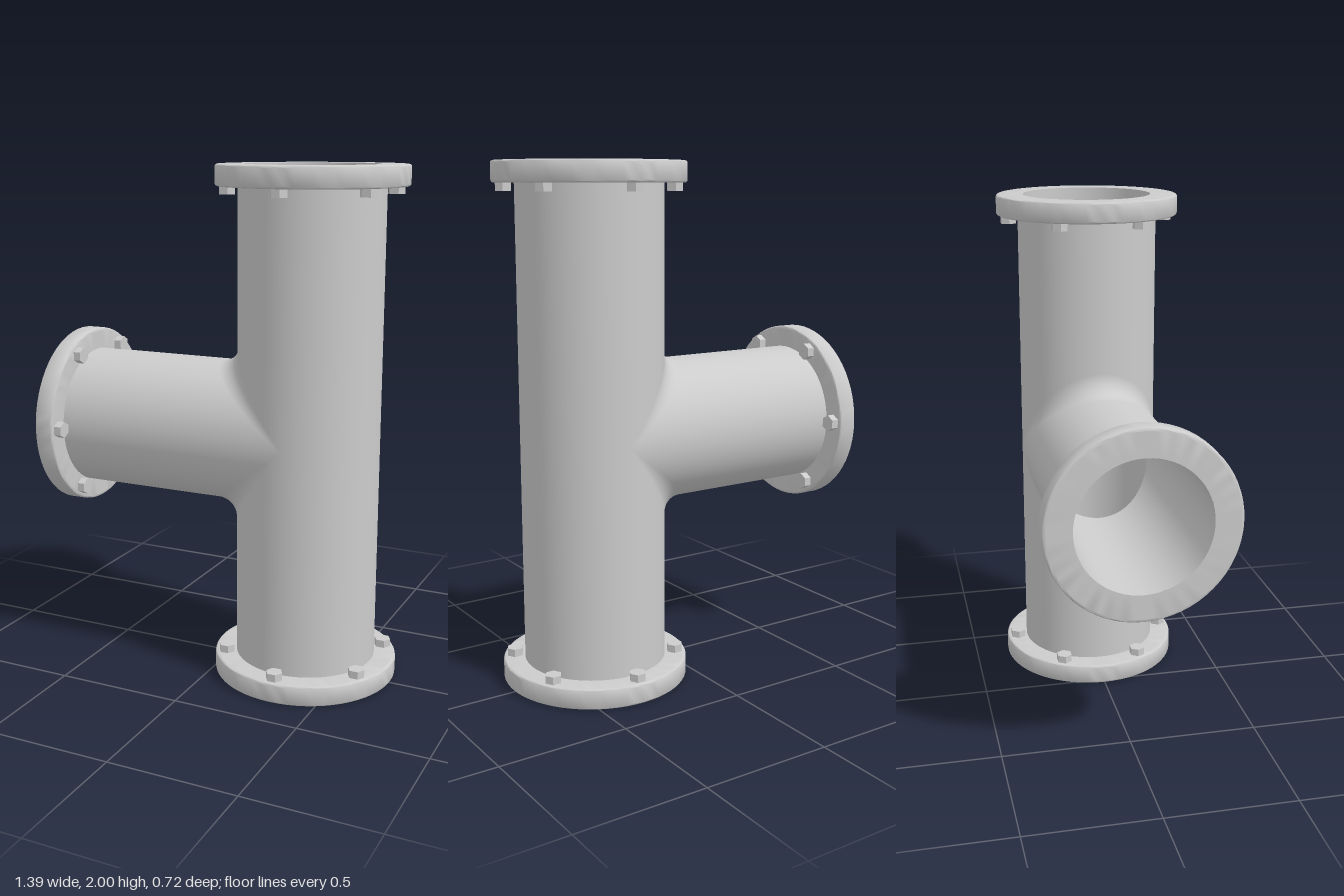
import * as THREE from 'three';
import { toCreasedNormals } from 'three/addons/utils/BufferGeometryUtils.js';

const AXIS_X = 0.332, BRANCH_Y = 0.962, HEIGHT = 2, BRANCH_END = -0.694;
const OUTER = 0.277, BORE = 0.254, FILLET = 0.085;
const FLANGE_R = 0.362, FLANGE_T = 0.08, BOLT_CIRCLE = 0.317;
const SIDES = 96;

const material = new THREE.MeshStandardMaterial({ color: 0xcccccc });
const flatMaterial = new THREE.MeshStandardMaterial({ color: 0xcccccc, flatShading: true });

function addMesh(parent, name, geometry, mat = material) {
  const mesh = new THREE.Mesh(geometry, mat);
  mesh.name = name;
  parent.add(mesh);
  return mesh;
}

// Grid surface; at(i, j) gives { p, n }, and faces are wound to agree with n.
function gridSurface(cols, rows, at) {
  const pts = [], normals = [], index = [];
  for (let i = 0; i <= cols; i++) {
    for (let j = 0; j <= rows; j++) {
      const { p, n } = at(i, j);
      pts.push(p);
      normals.push(n);
    }
  }
  const tri = (a, b, c) => {
    const face = pts[b].clone().sub(pts[a]).cross(pts[c].clone().sub(pts[a]));
    if (face.length() < 1e-10) return;
    const sum = normals[a].clone().add(normals[b]).add(normals[c]);
    if (face.dot(sum) > 0) index.push(a, b, c);
    else index.push(a, c, b);
  };
  for (let i = 0; i < cols; i++) {
    for (let j = 0; j < rows; j++) {
      const a = i * (rows + 1) + j, b = a + rows + 1;
      tri(a, b, b + 1);
      tri(a, b + 1, a + 1);
    }
  }
  const g = new THREE.BufferGeometry();
  g.setAttribute('position', new THREE.Float32BufferAttribute(pts.flatMap(v => v.toArray()), 3));
  g.setAttribute('normal', new THREE.Float32BufferAttribute(normals.flatMap(v => v.toArray()), 3));
  g.setIndex(index);
  return g;
}

// One skin of the tee: upright pipe with an opening, and the branch that meets it.
// sign is +1 for the outside and -1 for the bore.
function addTeeSkin(parent, label, R, f, inset, sign) {
  const V = (x, y, z) => new THREE.Vector3(x, y, z);
  const place = (x, y, z) => V(AXIS_X + x, BRANCH_Y + y, z);
  const half = SIDES / 2;

  const upright = (name, start, low, high) => addMesh(parent, label + name,
    gridSurface(half, 1, (i, j) => {
      const a = start + Math.PI * i / half, c = Math.cos(a), s = Math.sin(a);
      const y = j ? high(c) : low(c);
      return { p: V(AXIS_X - R * c, y, R * s), n: V(-c, 0, s).multiplyScalar(sign) };
    }));
  const bottom = () => inset, top = () => HEIGHT - inset;
  const reach = c => (R + f) * Math.abs(c);
  upright('PipeFarSide', Math.PI / 2, bottom, top);
  upright('PipeBelowBranch', -Math.PI / 2, bottom, c => BRANCH_Y - reach(c));
  upright('PipeAboveBranch', -Math.PI / 2, c => BRANCH_Y + reach(c), top);

  // Branch: straight run, then a rolling-ball fillet onto the upright pipe
  const steps = f > 0 ? 12 : 0;
  addMesh(parent, label + 'Branch', gridSurface(SIDES, 1 + steps, (i, j) => {
    const a = 2 * Math.PI * i / SIDES, c = Math.cos(a), s = Math.sin(a);
    const n1 = V(0, c, s), n2 = V(-Math.abs(c), 0, s);
    if (j === 0) {
      return { p: V(BRANCH_END + inset, BRANCH_Y + R * c, R * s), n: n1.multiplyScalar(sign) };
    }
    const t = steps ? (j - 1) / steps : 0;
    const between = n1.angleTo(n2);
    const n = between < 1e-4 ? n1.clone()
      : n1.clone().multiplyScalar(Math.sin((1 - t) * between))
        .addScaledVector(n2, Math.sin(t * between)).normalize();
    const p = place(-reach(c), (R + f) * c, (R + f) * s).addScaledVector(n, -f);
    return { p, n: n.multiplyScalar(sign) };
  }));
}

// Flange ring with softened rim, open face at local y = 0, six bolts on the inner side
function createFlange(name) {
  const group = new THREE.Group();
  group.name = name;
  const b = 0.01, profile = [new THREE.Vector2(BORE, 0), new THREE.Vector2(FLANGE_R - b - 0.003, 0)];
  for (const [cy, from] of [[b, -Math.PI / 2], [FLANGE_T - b, 0]]) {
    for (let k = 0; k <= 4; k++) {
      const a = from + k * Math.PI / 8;
      profile.push(new THREE.Vector2(FLANGE_R - b + b * Math.cos(a), cy + b * Math.sin(a)));
    }
  }
  profile.push(new THREE.Vector2(FLANGE_R - b - 0.003, FLANGE_T), new THREE.Vector2(OUTER - 0.002, FLANGE_T));
  addMesh(group, 'flangeRing', toCreasedNormals(new THREE.LatheGeometry(profile, 64), 0.6));

  const head = new THREE.CylinderGeometry(0.033, 0.033, 0.04, 6).rotateY(Math.PI / 6);
  for (let k = 0; k < 6; k++) {
    const a = Math.PI / 2 + k * Math.PI / 3;
    addMesh(group, 'bolt', head, flatMaterial)
      .position.set(BOLT_CIRCLE * Math.cos(a), FLANGE_T + 0.01, BOLT_CIRCLE * Math.sin(a));
  }
  return group;
}

export function createModel() {
  const model = new THREE.Group();
  model.name = 'pipeTee';

  addTeeSkin(model, 'outer', OUTER, FILLET, FLANGE_T / 2, 1);
  addTeeSkin(model, 'bore', BORE, 0, 0, -1);

  const bottom = createFlange('bottomFlange');
  bottom.position.set(AXIS_X, 0, 0);

  const top = createFlange('topFlange');
  top.position.set(AXIS_X, HEIGHT, 0);
  top.rotation.x = Math.PI;

  const side = createFlange('branchFlange');
  side.position.set(BRANCH_END, BRANCH_Y, 0);
  side.rotation.z = -Math.PI / 2;

  model.add(bottom, top, side);
  return model;
}
